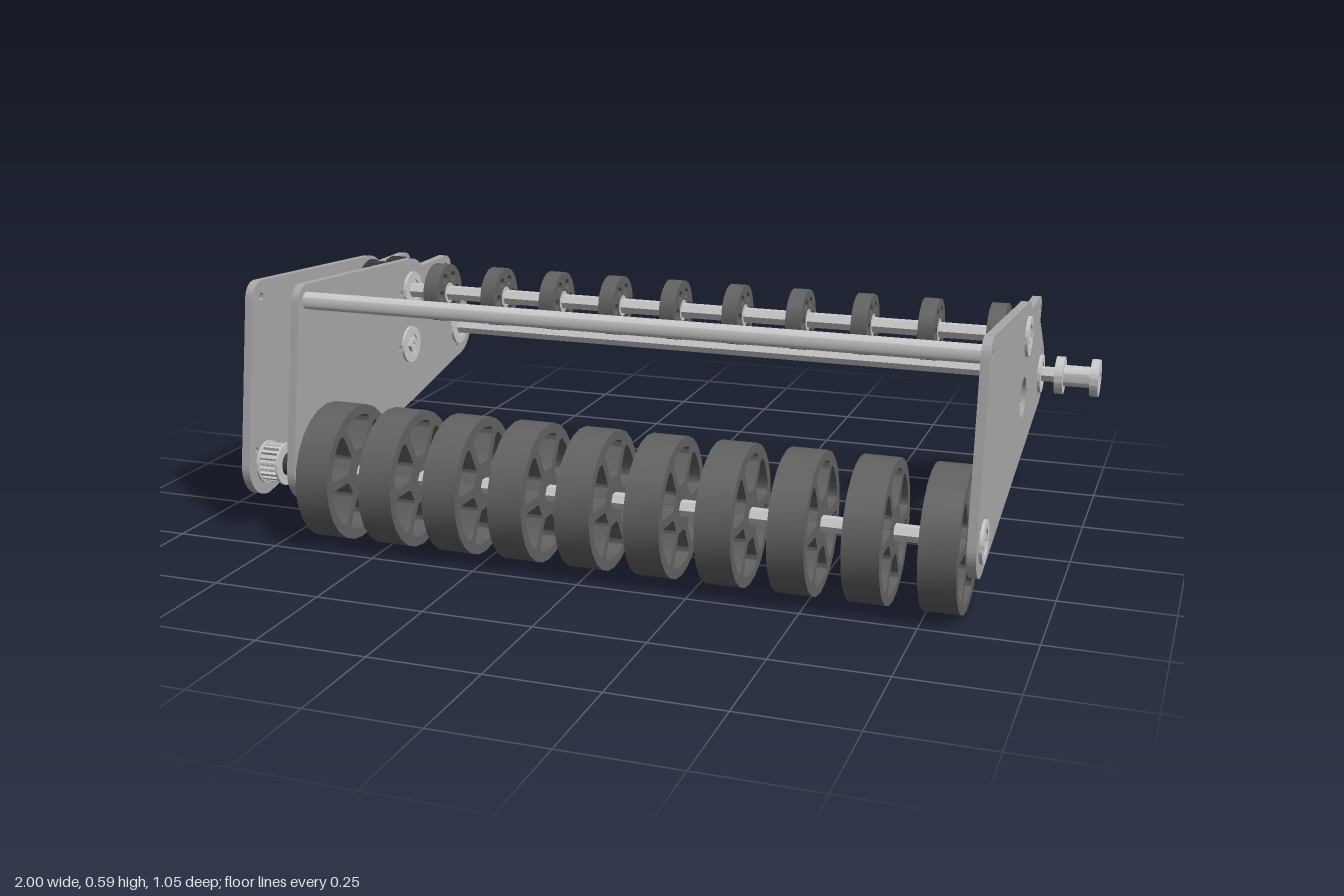
import * as THREE from 'three';
import { toCreasedNormals } from 'three/addons/utils/BufferGeometryUtils.js';

const mat = (color) => new THREE.MeshStandardMaterial({ color });
const steel = mat(0xcccccc), plateGrey = mat(0xaaaaaa), rubber = mat(0x626262), black = mat(0x404040);

// Axle positions in the side plane: [z, y]
const FRONT = [0.37, 0.16], UPPER = [-0.175, 0.475], IDLER = [-0.155, 0.335], REAR = [-0.447, 0.32];
const TIE = [0.353, 0.555];
const rad = THREE.MathUtils.degToRad;

// Extrude a (z, y) shape along x, centred on x = 0
function alongX(shape, width, curveSegments = 24) {
  const g = new THREE.ExtrudeGeometry(shape, { depth: width, bevelEnabled: false, curveSegments });
  g.translate(0, 0, -width / 2).rotateY(-Math.PI / 2);
  return toCreasedNormals(g, 0.6);
}

function circlePath(z, y, r) {
  return new THREE.Path().absarc(z, y, r, 0, Math.PI * 2, false);
}

function ring(r, hole, width) {
  const s = new THREE.Shape().absarc(0, 0, r, 0, Math.PI * 2, false);
  if (hole) s.holes.push(circlePath(0, 0, hole));
  return alongX(s, width);
}

function hexBar(r, length) {
  const pts = [];
  for (let i = 0; i < 6; i++) pts.push(new THREE.Vector2(r * Math.cos(i * Math.PI / 3), r * Math.sin(i * Math.PI / 3)));
  const s = new THREE.Shape(pts);
  s.holes.push(circlePath(0, 0, 0.006));
  return alongX(s, length, 8);
}

function toothed(r, depth, teeth, width) {
  const pts = [];
  for (let i = 0; i < teeth; i++) {
    [[0, r - depth], [0.3, r - depth], [0.45, r], [0.85, r]].forEach(([f, q]) => {
      const a = (i + f) / teeth * Math.PI * 2;
      pts.push(new THREE.Vector2(q * Math.cos(a), q * Math.sin(a)));
    });
  }
  const s = new THREE.Shape(pts);
  s.holes.push(circlePath(0, 0, 0.015));
  return alongX(s, width);
}

// Side plate outline with its mounting holes
function plateGeometry(openIdler) {
  const s = new THREE.Shape();
  const arc = (z, y, r, a, b) => s.absarc(z, y, r, rad(a), rad(b), false);
  arc(0.35, 0.553, 0.04, 8, 94);
  arc(...UPPER, 0.08, 94, 139.5);
  arc(-0.38, 0.497, 0.03, 90, 215);
  s.lineTo(-0.402, 0.462);
  arc(...REAR, 0.078, 130, 259);
  arc(...FRONT, 0.078, 259, 368);
  s.closePath();
  const hole = (z, y, r) => s.holes.push(circlePath(z, y, r));
  hole(...TIE, 0.009);
  hole(-0.38, 0.497, 0.011);
  [[UPPER, 0], [IDLER, 0], [REAR, 105], [FRONT, 43]].forEach(([c, deg]) => {
    hole(...c, c === IDLER && openIdler ? 0.047 : 0.03);
    for (const d of [0, 180]) {
      hole(c[0] + 0.056 * Math.cos(rad(deg + d)), c[1] + 0.056 * Math.sin(rad(deg + d)), 0.007);
    }
  });
  return alongX(s, 0.02, 16);
}

// Six-spoked front wheel with rounded windows
function bigWheelGeometry() {
  const s = new THREE.Shape().absarc(0, 0, 0.158, 0, Math.PI * 2, false);
  const outer = 0.135, inner = 0.055, half = 0.01;
  const edge = (a, r, off) => [r * Math.cos(a) - off * Math.sin(a), r * Math.sin(a) + off * Math.cos(a)];
  const polar = (a, r) => [r * Math.cos(a), r * Math.sin(a)];
  for (let i = 0; i < 6; i++) {
    const a = i * Math.PI / 3, b = a + Math.PI / 3, w = new THREE.Path();
    w.moveTo(...edge(a, 0.068, half));
    w.lineTo(...edge(a, 0.115, half));
    w.quadraticCurveTo(...edge(a, outer, half), ...polar(a + 0.23, outer));
    w.absarc(0, 0, outer, a + 0.23, b - 0.23, false);
    w.quadraticCurveTo(...edge(b, outer, -half), ...edge(b, 0.115, -half));
    w.lineTo(...edge(b, 0.068, -half));
    w.quadraticCurveTo(...edge(b, inner, -half), ...polar(b - 0.4, inner));
    w.absarc(0, 0, inner, b - 0.4, a + 0.4, true);
    w.quadraticCurveTo(...edge(a, inner, half), ...edge(a, 0.068, half));
    s.holes.push(w);
  }
  s.holes.push(circlePath(0, 0, 0.016));
  return alongX(s, 0.08, 12);
}

// Small wheel with a circle of round holes
function smallWheelGeometry() {
  const s = new THREE.Shape().absarc(0, 0, 0.073, 0, Math.PI * 2, false);
  for (let i = 0; i < 6; i++) s.holes.push(circlePath(0.045 * Math.cos(i * Math.PI / 3), 0.045 * Math.sin(i * Math.PI / 3), 0.013));
  s.holes.push(circlePath(0, 0, 0.026));
  return alongX(s, 0.038, 20);
}

export function createModel() {
  const model = new THREE.Group();
  const add = (name, geometry, material, x, [z, y], parent = model) => {
    const m = new THREE.Mesh(geometry, material);
    m.name = name;
    m.position.set(x, y, z);
    parent.add(m);
    return m;
  };

  // Side plates: one on the left, a pair enclosing the drive on the right
  const solidPlate = plateGeometry(false);
  add('leftPlate', plateGeometry(true), plateGrey, 0.845, [0, 0]);
  add('rightInnerPlate', solidPlate, plateGrey, -0.73, [0, 0]);
  add('rightOuterPlate', solidPlate, plateGrey, -0.85, [0, 0]);

  // Bearings: a flange outside each plate and a race through it
  const flange = ring(0.047, 0.028, 0.007), race = ring(0.0295, 0.016, 0.026);
  [[0.845, 1], [-0.73, 1], [-0.85, -1]].forEach(([x, side]) => {
    [FRONT, UPPER, IDLER, REAR].forEach((c) => {
      if (c === IDLER && x > 0) return;
      add('bearingFlange', flange, steel, x + side * 0.0135, c);
      add('bearingRace', race, steel, x + side * 0.001, c);
    });
  });

  // Shafts and tie rod
  const shaft = hexBar(0.019, 1.722);
  add('frontShaft', shaft, steel, 0, FRONT);
  add('upperShaft', shaft, steel, 0, UPPER);
  add('idlerShaft', hexBar(0.019, 0.16), steel, -0.788, IDLER);
  add('rearShaft', hexBar(0.019, 1.998), steel, 0, REAR);
  add('tieRod', ring(0.02, 0.009, 1.555), steel, 0.0575, TIE);

  // Spools on both ends of the rear shaft
  const collar = ring(0.046, 0.016, 0.02), core = ring(0.026, 0.016, 0.085);
  for (const side of [-1, 1]) {
    const spool = new THREE.Group();
    spool.name = side > 0 ? 'leftSpool' : 'rightSpool';
    model.add(spool);
    add('innerCollar', collar, steel, side * 0.905, REAR, spool);
    add('outerCollar', collar, steel, side * 0.99, REAR, spool);
    add('spoolCore', core, steel, side * 0.945, REAR, spool);
  }

  // Two rows of ten wheels
  const big = bigWheelGeometry(), small = smallWheelGeometry(), hub = ring(0.026, 0.016, 0.039);
  for (let i = 0; i < 10; i++) {
    const x = (i - 4) * 0.1578;
    add('frontWheel', big, rubber, x, FRONT);
    add('upperWheel', small, rubber, x, UPPER);
    add('upperWheelHub', hub, steel, x, UPPER);
  }

  // Toothed belt pulleys with end flanges, between the right plates
  const pulley = (name, r, teeth, material, c) => {
    const g = new THREE.Group();
    g.name = name;
    model.add(g);
    add('teeth', toothed(r - 0.004, 0.007, teeth, 0.046), material, -0.81, c, g);
    const rim = ring(r, 0.016, 0.005);
    for (const x of [-0.835, -0.785]) add('rim', rim, material, x, c, g);
  };
  pulley('rearPulley', 0.074, 30, black, REAR);
  pulley('upperPulley', 0.072, 30, black, UPPER);
  pulley('idlerPulley', 0.066, 26, steel, IDLER);
  pulley('frontPulley', 0.051, 20, steel, FRONT);

  // Meshing gears and spacers beside the pulleys
  add('upperGear', toothed(0.084, 0.01, 32, 0.03), black, -0.761, UPPER);
  add('idlerGear', toothed(0.064, 0.01, 24, 0.03), black, -0.761, IDLER);
  const spacer = ring(0.028, 0.016, 0.042);
  add('frontSpacer', spacer, black, -0.761, FRONT);
  add('rearSpacer', spacer, steel, -0.761, REAR);

  return model;
}
